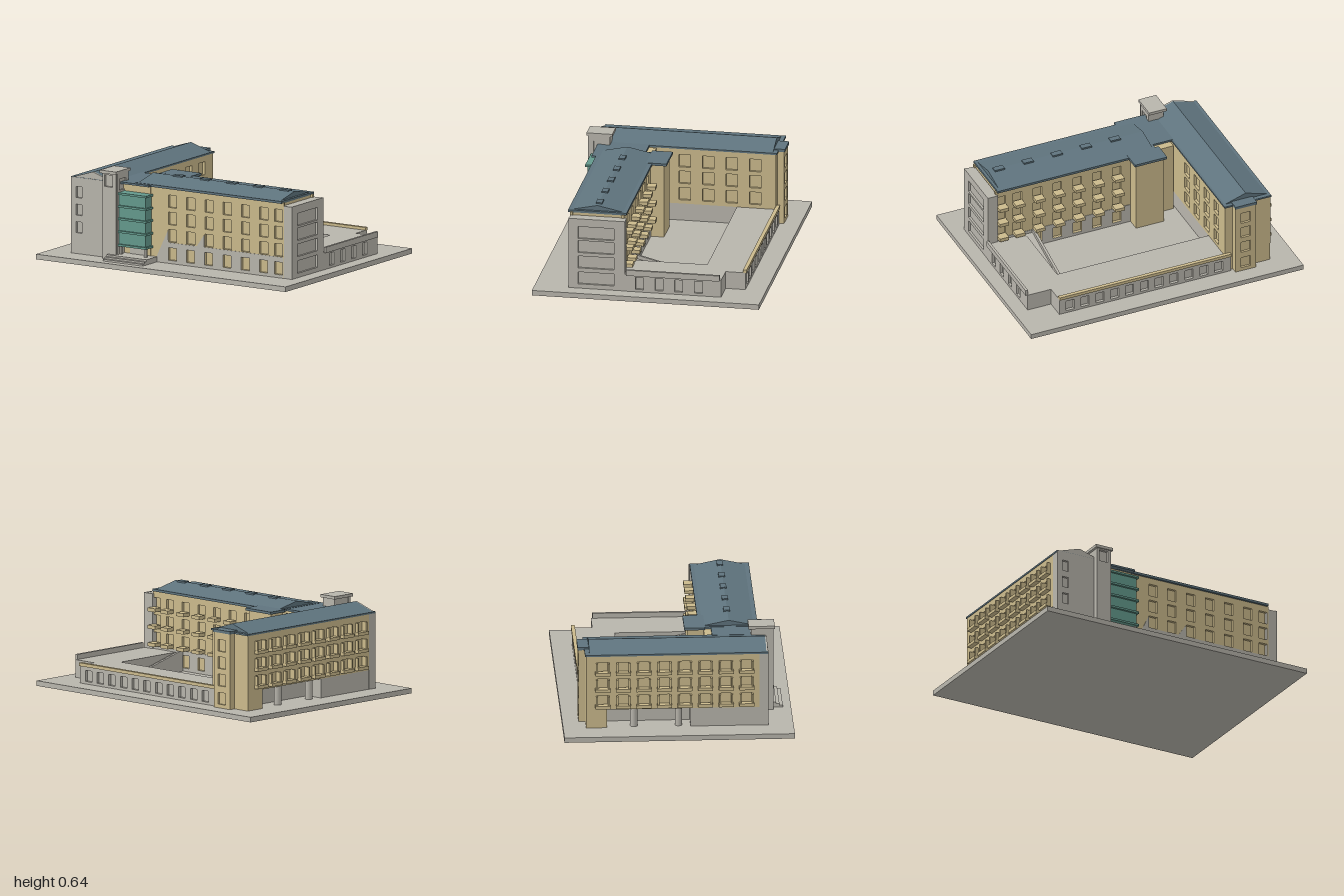
import * as THREE from 'three';

const mat = (name, color) => {
  const m = new THREE.MeshStandardMaterial({ color });
  m.name = name;
  return m;
};

export function createModel() {
  const model = new THREE.Group();
  model.name = 'courtyardBuilding';
  const stone = mat('warm grey concrete', 0xb8b5ac);
  const tan = mat('tan render', 0xcbba8c);
  const slate = mat('slate roof', 0x5f747e);
  const teal = mat('teal glass', 0x649a8d);

  const add = (name, geo, m, parent = model) => {
    const mesh = new THREE.Mesh(geo, m);
    mesh.name = name;
    parent.add(mesh);
    return mesh;
  };
  // Box given by its limits on each axis
  const box = (name, m, x0, x1, y0, y1, z0, z1) => {
    const mesh = add(name, new THREE.BoxGeometry(x1 - x0, y1 - y0, z1 - z0), m);
    mesh.position.set((x0 + x1) / 2, (y0 + y1) / 2, (z0 + z1) / 2);
    return mesh;
  };
  const poly = (pts) => pts.map(([x, y]) => new THREE.Vector2(x, y));
  const rect = (u0, u1, v0, v1) => poly([[u0, v0], [u1, v0], [u1, v1], [u0, v1]]);
  const extrude = (outline, holes, depth) => {
    const shape = new THREE.Shape(outline);
    holes.forEach((h) => shape.holes.push(new THREE.Path(h.slice().reverse())));
    return new THREE.ExtrudeGeometry(shape, { depth, bevelEnabled: false });
  };
  // Wall panel with window openings; u is the world x (front, back) or z (left, right)
  const SIDES = { front: [0, 1], back: [Math.PI, -1], right: [Math.PI / 2, -1], left: [-Math.PI / 2, 1] };
  const wall = (name, m, side, plane, u0, u1, v0, v1, wins, depth = 0.018) => {
    const [rot, s] = SIDES[side];
    const span = (a, b, c, d) => rect(Math.min(a * s, b * s), Math.max(a * s, b * s), c, d);
    const holes = wins.map(([u, v, w, h]) => span(u - w / 2, u + w / 2, v - h / 2, v + h / 2));
    const mesh = add(name, extrude(span(u0, u1, v0, v1), holes, depth), m);
    mesh.rotation.y = rot;
    const out = side === 'front' || side === 'right' ? plane - depth : plane + depth;
    if (side === 'front' || side === 'back') mesh.position.z = out;
    else mesh.position.x = out;
  };
  const grid = (us, vs, w, h) => us.flatMap((u) => vs.map((v) => [u, v, w, h]));
  const series = (n, a, b) => Array.from({ length: n }, (_, i) => a + ((b - a) * i) / (n - 1));
  const upper = [0.225, 0.343, 0.46];
  const floors = [0.1, ...upper];

  // Site slab
  box('siteSlab', stone, -1, 1, 0, 0.035, -0.775, 0.77);

  // Front wing
  const cols = [-0.055, 0.09, 0.235, 0.382, 0.528, 0.675, 0.795];
  box('frontWingCore', tan, -0.48, 0.82, 0.035, 0.545, 0.19, 0.522);
  wall('frontWingFront', tan, 'front', 0.54, -0.23, 0.835, 0.035, 0.55, grid(cols, floors, 0.065, 0.085));
  wall('frontWingBack', tan, 'back', 0.172, -0.34, 0.835, 0.035, 0.55, grid(cols, floors, 0.065, 0.085));
  // Grey ground-floor finish with its two raised points
  const finish = poly([[-0.2, 0.036], [0.834, 0.036], [0.834, 0.178], [0.2, 0.178], [0.198, 0.262], [0.14, 0.178],
    [-0.088, 0.178], [-0.09, 0.262]]);
  const lower = cols.map((u) => rect(u - 0.033, u + 0.033, 0.057, 0.143));
  add('frontGroundFinish', extrude(finish, lower, 0.004), stone).position.z = 0.539;
  wall('courtGroundFinish', stone, 'back', 0.169, -0.33, 0.834, 0.036, 0.172, grid(cols, [0.1], 0.066, 0.086), 0.004);

  // Balconies on the courtyard side
  for (const x of cols) {
    for (const y of [0.178, 0.297, 0.415]) box('courtBalcony', tan, x - 0.034, x + 0.034, y, y + 0.024, 0.115, 0.175);
  }

  // Grey end block with wide window bays
  box('endBlockCore', stone, 0.825, 0.885, 0.035, 0.528, 0.157, 0.538);
  wall('endBlockFace', stone, 'right', 0.9, 0.155, 0.54, 0.035, 0.53, grid([0.35], [0.108, 0.222, 0.332, 0.432], 0.245, 0.085));

  // Projecting block and link towards the side wing
  box('courtProjection', tan, -0.36, -0.155, 0.035, 0.548, 0.08, 0.2);
  box('courtProjectionRoof', slate, -0.375, -0.138, 0.548, 0.565, 0.06, 0.2);
  box('linkBody', tan, -0.5, -0.23, 0.035, 0.548, 0.26, 0.545);
  box('linkRoof', slate, -0.5, -0.22, 0.547, 0.56, 0.24, 0.585);

  // Gabled roofs: eaves slab plus a prism
  box('frontWingEaves', slate, -0.35, 0.825, 0.546, 0.562, 0.158, 0.555);
  const frontRoof = add('frontWingRoof',
    extrude(poly([[-0.535, 0.56], [-0.175, 0.56], [-0.36, 0.598]]), [], 1.135), slate);
  frontRoof.rotation.y = Math.PI / 2;
  frontRoof.position.x = -0.33;
  for (const x of series(5, -0.122, 0.73)) box('skylight', slate, x - 0.036, x + 0.036, 0.585, 0.604, 0.335, 0.377);
  box('sideWingEaves', slate, -0.83, -0.487, 0.546, 0.558, -0.628, 0.6);
  const gable = poly([[-0.812, 0.557], [-0.5, 0.557], [-0.655, 0.607]]);
  add('sideWingRoof', extrude(gable, [], 1.186), slate).position.z = -0.598;
  add('frontGable', extrude(gable, [], 0.012), stone).position.z = 0.587;

  // Side wing: tan upper floors over an open ground floor
  const wingZ = series(4, -0.48, 0.0);
  const westZ = series(8, -0.51, 0.455);
  box('sideWingCore', tan, -0.81, -0.51, 0.165, 0.547, -0.62, 0.56);
  wall('sideWingCourtWall', tan, 'right', -0.492, -0.62, 0.26, 0.155, 0.548, grid(wingZ, upper, 0.08, 0.088));
  wall('sideWingOuterWall', tan, 'left', -0.826, -0.62, 0.56, 0.165, 0.548, grid(westZ, upper, 0.07, 0.085));
  box('sideWingGroundFloor', stone, -0.7, -0.495, 0.035, 0.166, -0.6, 0.56);
  box('groundFloorFrontEnd', stone, -0.824, -0.5, 0.035, 0.166, 0.08, 0.56);
  box('groundFloorRearEnd', tan, -0.824, -0.5, 0.035, 0.166, -0.62, -0.48);
  for (const z of [-0.3, 0.0]) {
    const column = add('column', new THREE.CylinderGeometry(0.025, 0.025, 0.132, 16), stone);
    column.position.set(-0.79, 0.101, z);
  }
  // Balconies with side fins on the outer wall
  for (const z of westZ) {
    for (const y of [0.18, 0.299, 0.417]) {
      box('outerBalcony', tan, -0.86, -0.82, y, y + 0.022, z - 0.05, z + 0.05);
      for (const s of [-1, 1]) {
        box('balconyFin', tan, -0.85, -0.82, y + 0.022, y + 0.085, z + s * 0.04 - 0.006, z + s * 0.04 + 0.006);
      }
    }
  }

  // Grey front end of the side wing
  box('frontEndCore', stone, -0.827, -0.49, 0.035, 0.555, 0.54, 0.585);
  wall('frontEndFace', stone, 'front', 0.602, -0.828, -0.49, 0.035, 0.556, grid([-0.765], [0.215, 0.335, 0.455], 0.045, 0.075));

  // Rear stair block
  box('rearStairCore', tan, -0.7, -0.55, 0.035, 0.55, -0.65, -0.6);
  wall('rearStairFace', tan, 'back', -0.665, -0.7, -0.55, 0.035, 0.55, grid([-0.625], floors, 0.07, 0.08));
  box('rearStairRoof', slate, -0.705, -0.548, 0.548, 0.567, -0.672, -0.58);

  // Entrance tower with cap and upper opening
  box('towerCore', stone, -0.545, -0.445, 0.035, 0.62, 0.5, 0.63);
  wall('towerFront', stone, 'front', 0.648, -0.548, -0.44, 0.035, 0.622, [[-0.499, 0.57, 0.065, 0.08]]);
  wall('towerSide', stone, 'right', -0.436, 0.5, 0.63, 0.035, 0.622, [[0.57, 0.545, 0.08, 0.075]], 0.01);
  box('towerCap', stone, -0.562, -0.432, 0.62, 0.64, 0.482, 0.658);

  // Glazed bay with projecting floor bands
  box('glazedBay', teal, -0.437, -0.225, 0.135, 0.485, 0.54, 0.612);
  for (const y of [0.135, 0.227, 0.315, 0.4, 0.487]) {
    box('bayFloorBand', teal, -0.442, -0.212, y - 0.007, y + 0.007, 0.54, 0.627);
  }
  for (const x of [-0.43, -0.23]) box('porchPost', stone, x - 0.008, x + 0.008, 0.07, 0.13, 0.59, 0.61);
  box('porchDoor', stone, -0.39, -0.27, 0.07, 0.125, 0.54, 0.553);
  [0.67, 0.692, 0.715].forEach((z, i) => {
    box('entranceStep', stone, -0.5, -0.18, 0.035, 0.071 - i * 0.012, 0.54, z);
  });

  // Raised terrace wrapping the sunken court
  const deck = poly([[-0.5, 0.615], [-0.5, 0.355], [0.62, 0.355], [0.62, -0.17], [0.885, -0.17], [0.885, 0.482],
    [0.715, 0.482], [0.715, 0.615]]);
  const terrace = add('terrace', extrude(deck, [], 0.12), stone);
  terrace.rotation.x = -Math.PI / 2;
  terrace.position.y = 0.035;
  wall('terraceRearWall', stone, 'back', -0.635, -0.53, 0.73, 0.035, 0.155, grid(series(11, -0.44, 0.65), [0.09], 0.06, 0.075), 0.021);
  wall('terraceSideWall', stone, 'right', 0.902, -0.5, 0.155, 0.035, 0.155, grid(series(4, -0.345, 0.055), [0.095], 0.055, 0.085));
  box('terraceCornerWall', stone, 0.71, 0.73, 0.035, 0.155, -0.634, -0.48);
  box('terraceNotchWall', stone, 0.715, 0.9, 0.035, 0.155, -0.5, -0.48);
  box('rearCoping', tan, -0.53, 0.73, 0.152, 0.174, -0.643, -0.617);
  box('sideParapet', stone, 0.896, 0.914, 0.15, 0.19, -0.49, 0.145);

  // Ramp between court and terrace, with a sloping side wall
  const slope = (name, rise, x, width) => {
    const ramp = add(name, extrude(
      poly([[-0.17, 0.035], [0.295, 0.035], [0.295, 0.036 + rise], [-0.15, 0.15 + rise], [-0.17, 0.15 + rise]]), [], width), stone);
    ramp.rotation.y = Math.PI / 2;
    ramp.position.x = x;
  };
  slope('courtRamp', 0, 0.565, 0.056);
  slope('rampWall', 0.025, 0.55, 0.018);

  return model;
}
